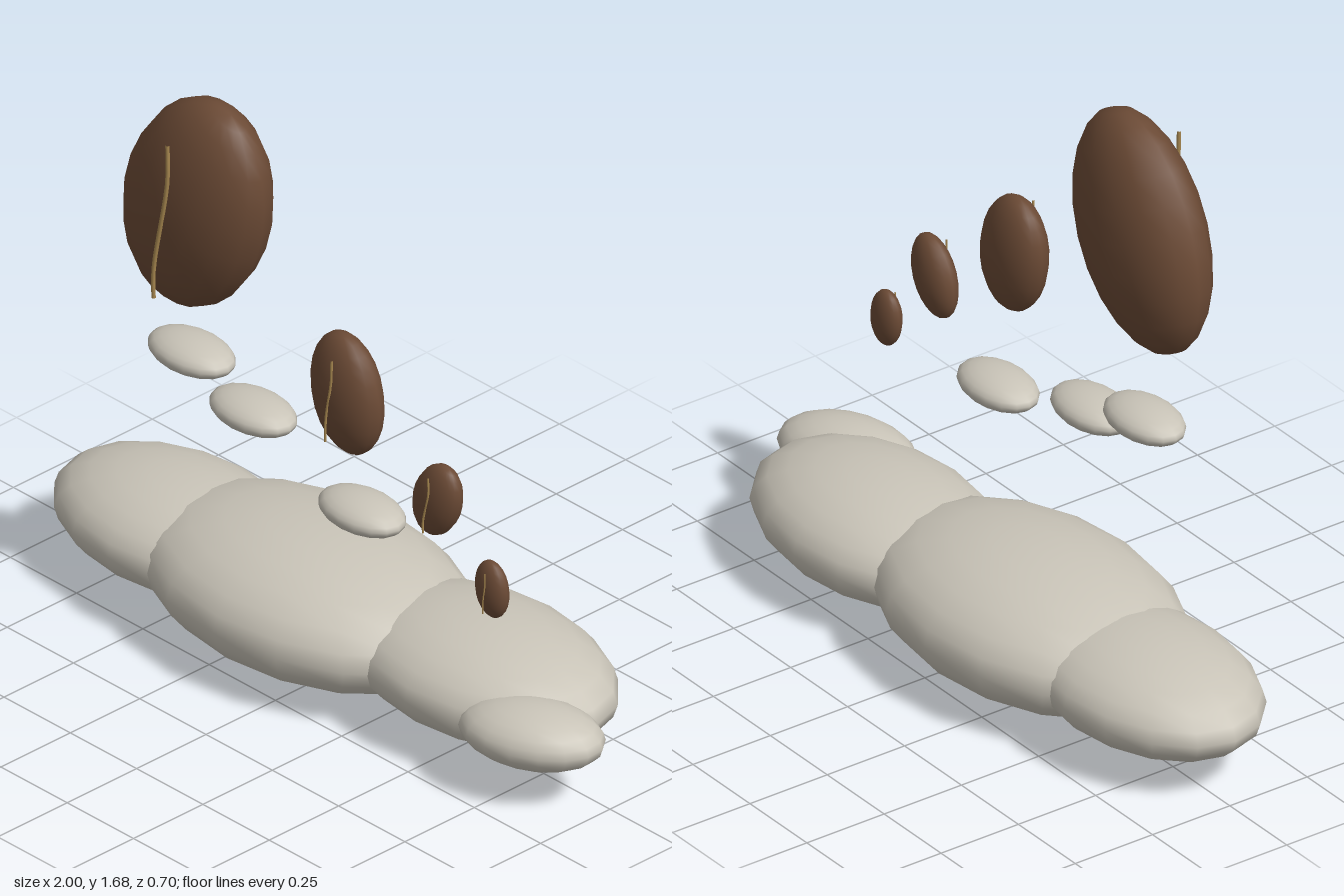
import * as THREE from 'three';

const mat = (name, color) => {
  const m = new THREE.MeshStandardMaterial({ color });
  m.name = name;
  return m;
};

export function createModel() {
  const stone = mat('pale stone', 0xc9c4b8);
  const brown = mat('brown', 0x6b4a35);
  const gold = mat('gold', 0xa88850);
  const model = new THREE.Group();
  model.name = 'floatingStones';

  const ball = new THREE.SphereGeometry(1, 16, 12);
  const ellipsoid = (name, material, pos, radii, rotY = 0, rotZ = 0) => {
    const m = new THREE.Mesh(ball, material);
    m.name = name;
    m.position.set(...pos);
    m.scale.set(...radii);
    m.rotation.set(0, rotY, rotZ);
    model.add(m);
  };

  // Overlapping lobes of the base
  ellipsoid('baseRightLobe', stone, [-0.6, 0.195, 0.02], [0.4, 0.14, 0.262]);
  ellipsoid('baseMiddleLobe', stone, [-0.13, 0.195, 0], [0.54, 0.187, 0.348]);
  ellipsoid('baseLeftLobe', stone, [0.46, 0.192, -0.057], [0.43, 0.15, 0.28]);
  ellipsoid('baseSmallLobe', stone, [0.803, 0.195, 0.093], [0.205, 0.085, 0.133], 0.35);

  // Floating flat pebbles
  [[-0.415, 0.848], [-0.183, 0.77], [0.228, 0.644]].forEach(([x, y], i) =>
    ellipsoid('pebble' + (i + 1), stone, [x, y, 0.155], [0.14, 0.047, 0.088]));

  // Brown ovals, each with a thin seam along its front
  const ovals = [
    { pos: [-0.336, 1.361, 0.207], radii: [0.233, 0.34, 0.137], tilt: -0.37, r: 0.006,
      seam: [[-0.308, 1.6], [-0.308, 1.49], [-0.36, 1.2], [-0.36, 1.115]], z: 0.345 },
    { pos: [0.228, 1.026, 0.208], radii: [0.12, 0.176, 0.07], tilt: 0.15, r: 0.0035,
      seam: [[0.24, 1.155], [0.238, 1.09], [0.218, 0.97], [0.216, 0.9]], z: 0.277 },
    { pos: [0.536, 0.822, 0.177], radii: [0.077, 0.118, 0.047], tilt: -0.38, r: 0.003,
      seam: [[0.547, 0.91], [0.548, 0.86], [0.528, 0.77], [0.528, 0.735]], z: 0.223 },
    { pos: [0.716, 0.618, 0.153], radii: [0.056, 0.083, 0.033], tilt: 0.08, r: 0.002,
      seam: [[0.722, 0.68], [0.722, 0.64], [0.715, 0.59], [0.715, 0.555]], z: 0.186 },
  ];
  ovals.forEach(({ pos, radii, tilt, r, seam, z }, i) => {
    ellipsoid('oval' + (i + 1), brown, pos, radii, 0, tilt);
    const path = new THREE.CatmullRomCurve3(seam.map(([x, y]) => new THREE.Vector3(x, y, z)));
    const line = new THREE.Mesh(new THREE.TubeGeometry(path, 12, r, 6), gold);
    line.name = 'seam' + (i + 1);
    model.add(line);
  });
  return model;
}
